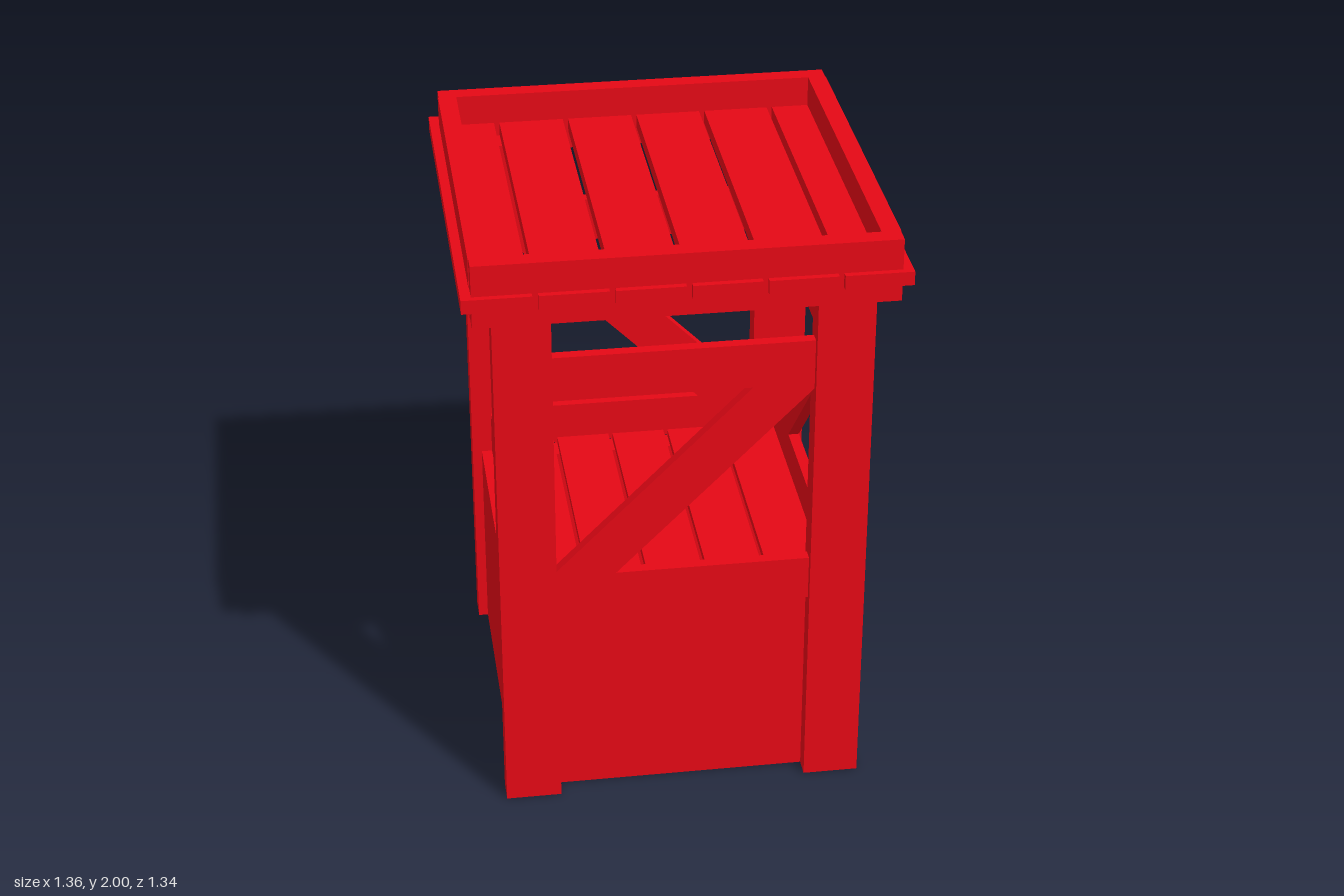
import * as THREE from 'three';

export function createModel() {
  const model = new THREE.Group();
  const red = new THREE.MeshStandardMaterial({ color: 0xe50815, flatShading: true });

  const add = (parent, name, geometry) => {
    const mesh = new THREE.Mesh(geometry, red);
    mesh.name = name;
    parent.add(mesh);
    return mesh;
  };
  // Box given by its lower and upper limits on each axis
  const box = (parent, name, [x0, x1], [y0, y1], [z0, z1]) =>
    add(parent, name, new THREE.BoxGeometry(x1 - x0, y1 - y0, z1 - z0))
      .position.set((x0 + x1) / 2, (y0 + y1) / 2, (z0 + z1) / 2);

  // Diagonal board trimmed level with the rails above and below
  const brace = (parent, name) => {
    const shape = new THREE.Shape([[-0.425, 0.84], [-0.215, 0.84], [0.425, 1.48], [0.215, 1.48]]
      .map(([x, y]) => new THREE.Vector2(x, y)));
    const geometry = new THREE.ExtrudeGeometry(shape, { depth: 0.037, bevelEnabled: false });
    geometry.translate(0, 0, -0.0185);
    return add(parent, name, geometry);
  };

  // Planks laid side by side along x, with open gaps
  const planks = (name, count, halfX, gap, y, z) => {
    const group = new THREE.Group();
    group.name = name;
    const pitch = (2 * halfX + gap) / count;
    for (let i = 0; i < count; i++) {
      const x = -halfX + i * pitch;
      box(group, 'plank', [x, x + pitch - gap], y, z);
    }
    model.add(group);
  };

  // Front and side walls, repeated by a half turn for the back and other side
  for (let i = 0; i < 2; i++) {
    const half = new THREE.Group();
    half.name = i ? 'backHalf' : 'frontHalf';
    half.rotation.y = i * Math.PI;

    for (const s of [-1, 1])
      box(half, 'cornerPost', [s * 0.497 - 0.09, s * 0.497 + 0.09], [0, 1.855], [0.503, 0.587]);

    for (const [name, y] of [['Lower', [0.69, 0.84]], ['Upper', [1.48, 1.63]]]) {
      box(half, 'front' + name + 'Rail', [-0.41, 0.41], y, [0.526, 0.563]);
      box(half, 'side' + name + 'Rail', [0.482, 0.519], y, [-0.505, 0.505]);
    }

    brace(half, 'diagonalBrace').position.z = 0.5445;
    const sideBrace = brace(half, 'sideDiagonalBrace');
    sideBrace.rotation.y = -Math.PI / 2;
    sideBrace.position.x = 0.5;

    // Thick wall panels fitted between the posts
    box(half, 'wallPanel', [-0.41, 0.41], [0, 0.69], [0.447, 0.525]);
    box(half, 'sideWallPanel', [0.477, 0.555], [0, 0.69], [-0.505, 0.505]);
    model.add(half);
  }

  // Floor resting on the wall panels
  planks('floor', 5, 0.482, 0.015, [0.69, 0.715], [-0.52, 0.52]);

  // Roof: plank deck passing through a tall square frame
  planks('roofDeck', 6, 0.68, 0.018, [1.855, 1.9], [-0.67, 0.67]);
  const frame = new THREE.Group();
  frame.name = 'roofFrame';
  for (const s of [-1, 1]) {
    const limits = [s * 0.62 - 0.03, s * 0.62 + 0.03];
    box(frame, 'longBoard', [-0.648, 0.648], [1.795, 2], limits);
    box(frame, 'shortBoard', limits, [1.795, 2], [-0.59, 0.59]);
  }
  model.add(frame);

  return model;
}
